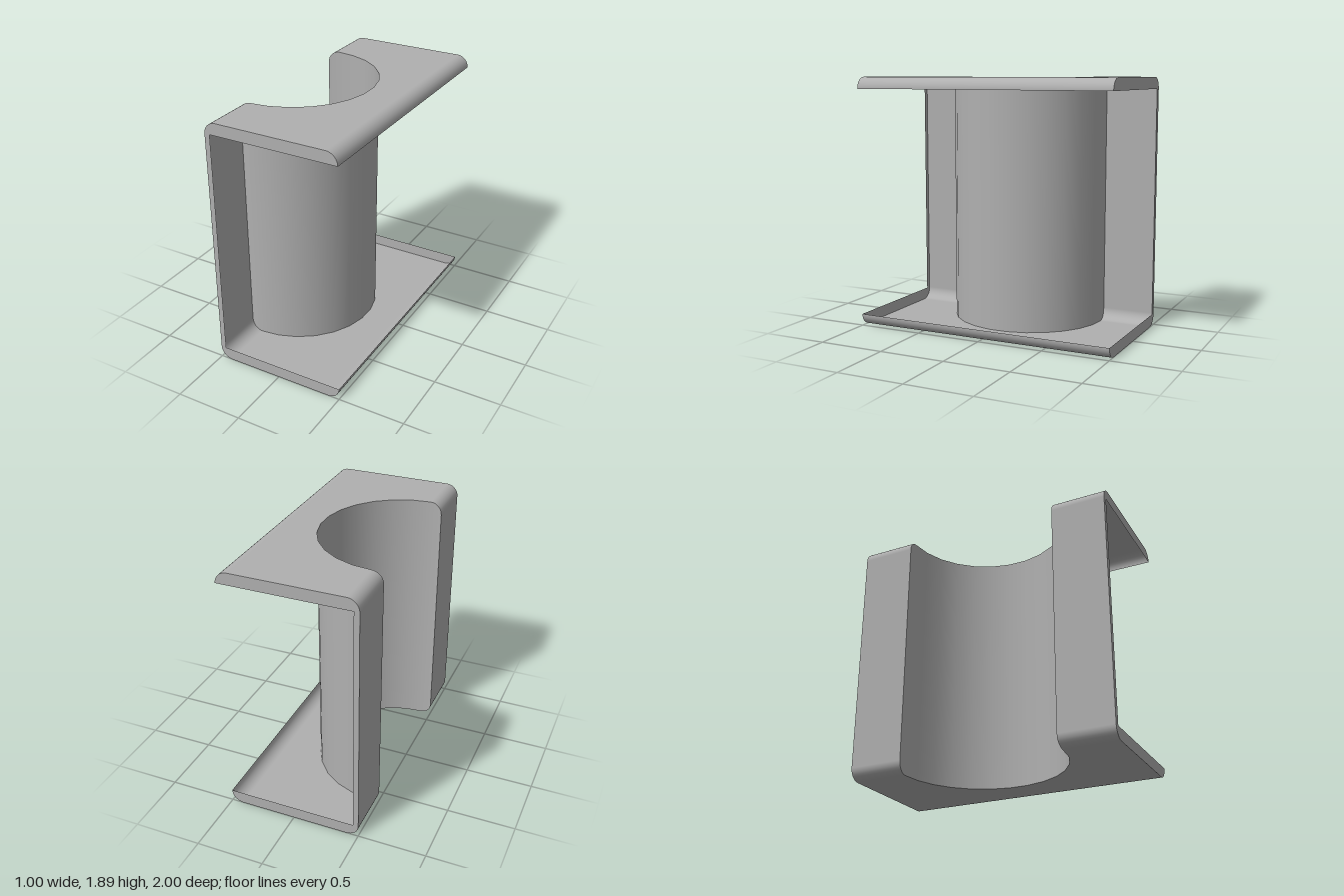
import * as THREE from 'three';

const H = 1.89, HALF = 0.5, R = 0.088, LIP = 0.04; // height, half depth, edge radius, back rim
const CX = -0.42, CR = 0.6, STEP = Math.PI / 13;   // round cut-out

// Smooth ribbon between two rows of points with shared normals
function ribbon(rowA, rowB, normals) {
  const pos = [], nor = [], idx = [];
  rowA.forEach((a, i) => {
    pos.push(...a, ...rowB[i]);
    nor.push(...normals[i], ...normals[i]);
    const k = i * 2;
    if (i) idx.push(k - 2, k - 1, k, k - 1, k + 1, k);
  });
  const g = new THREE.BufferGeometry();
  g.setAttribute('position', new THREE.Float32BufferAttribute(pos, 3));
  g.setAttribute('normal', new THREE.Float32BufferAttribute(nor, 3));
  g.setIndex(idx);
  return g;
}

// Lower half of the channel section, from the lip to the back wall; z is half the cut-out width
function lowerSection() {
  const cut = x => Math.sqrt(Math.max(0, CR * CR - (x - CX) ** 2));
  const pts = [], N = 8;
  for (let i = 0; i <= N; i++) {
    const a = (i / N) * Math.PI / 2, nx = Math.cos(a), ny = -Math.sin(a);
    pts.push({ x: HALF - R + R * nx, y: R + R * ny, z: 0, nx, ny });
  }
  const first = CX + CR * Math.cos(STEP / 2);
  pts.push({ x: first, y: 0, z: 0, nx: 0, ny: -1 });
  for (let k = 0; k < 6; k++) {
    const x = CX + CR * Math.cos(STEP * (k + 0.5));
    pts.push({ x, y: 0, z: cut(x), nx: 0, ny: -1 });
  }
  for (let i = 0; i <= N; i++) {
    const a = (i / N) * Math.PI / 2, nx = -Math.sin(a), ny = -Math.cos(a);
    const x = -HALF + R + R * nx;
    pts.push({ x, y: R + R * ny, z: cut(x), nx, ny });
  }
  return pts;
}

export function createModel() {
  const group = new THREE.Group();
  const grey = new THREE.MeshStandardMaterial({ color: 0xb0b0b0, side: THREE.DoubleSide });
  grey.name = 'grey';
  const add = (name, geometry) => {
    const mesh = new THREE.Mesh(geometry, grey);
    mesh.name = name;
    group.add(mesh);
    return mesh;
  };

  const lower = lowerSection();
  const upper = lower.map(p => ({ ...p, y: H - p.y, ny: -p.ny })).reverse();
  const section = [...lower, ...upper];

  // Thin C-shaped shell on either side of the cut-out
  const normals = section.map(p => [p.nx, p.ny, 0]);
  const row = zOf => section.map(p => [p.x, p.y, zOf(p)]);
  add('shellFrontHalf', ribbon(row(p => p.z), row(() => 1), normals));
  add('shellBackHalf', ribbon(row(() => -1), row(p => -p.z), normals));

  // Curved wall joining the top and bottom plates
  const edge = lower.filter(p => p.z > 0);
  const path = [...edge.map(p => ({ ...p, z: -p.z })).reverse(), ...edge];
  add('curvedWall', ribbon(
    path.map(p => [p.x, p.y, p.z]),
    path.map(p => [p.x, H - p.y, p.z]),
    path.map(p => [(p.x - CX) / CR, 0, p.z / CR])
  ));

  // Flat rims closing the two ends
  const outline = new THREE.Shape([
    ...section.filter(p => p.z === 0 || p.x < CX + 0.02).map(p => new THREE.Vector2(p.x, p.y)),
    new THREE.Vector2(-HALF + LIP, H - R),
    new THREE.Vector2(-HALF + LIP, R)
  ]);
  for (const z of [1, -1]) {
    add(z > 0 ? 'frontRim' : 'backRim', new THREE.ShapeGeometry(outline)).position.z = z;
  }
  return group;
}
